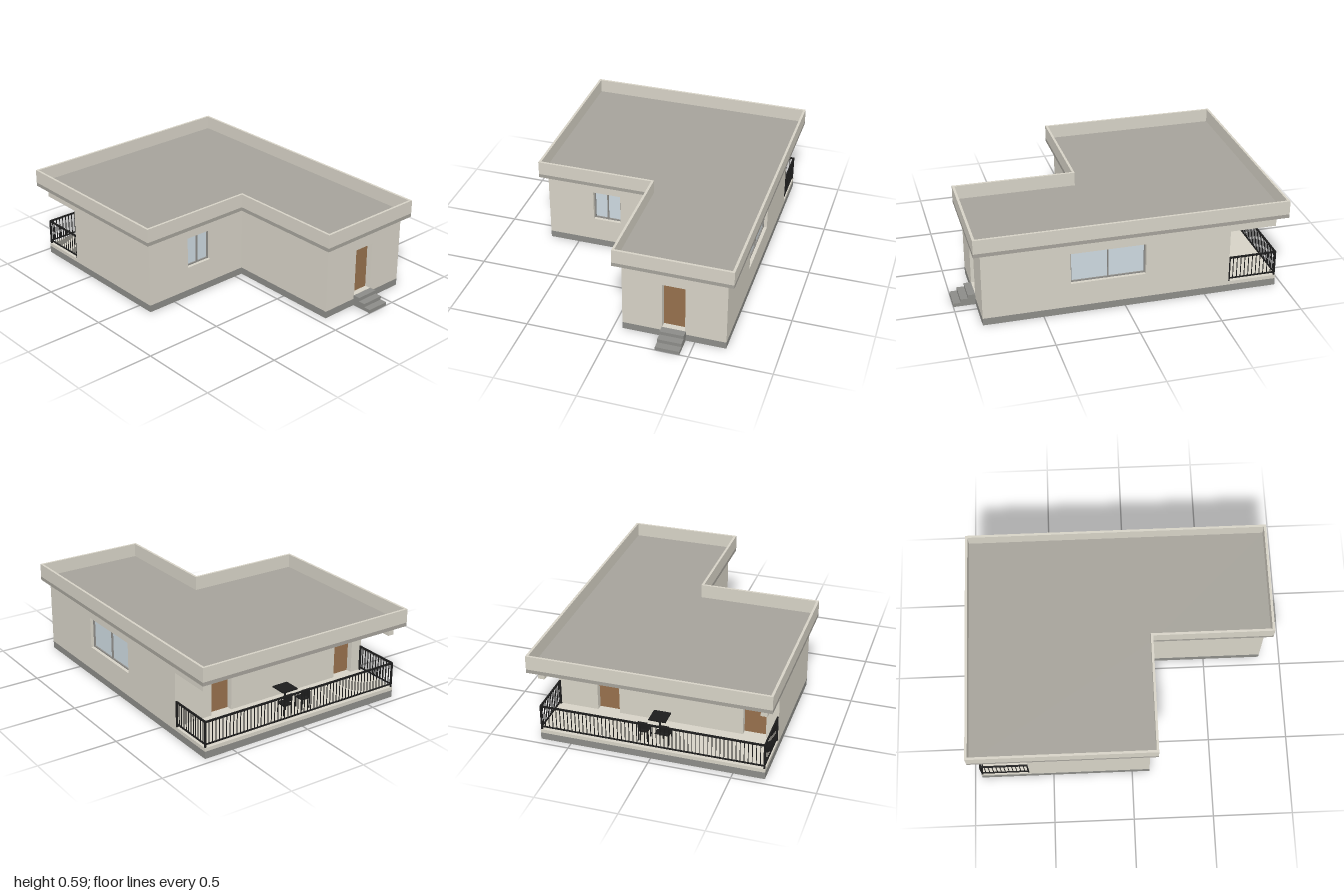
import * as THREE from 'three';

const mat = (color) => new THREE.MeshStandardMaterial({ color });
const M = {
  wall: mat(0xd6d2c6), base: mat(0x8c8c88), slab: mat(0xa5a29a), frame: mat(0x8f8e8a),
  glass: mat(0xcdd9e0), door: mat(0x96704c), metal: mat(0x1c1c1c),
};
const WALL_TOP = 0.48, PLINTH = 0.045, FLOOR = 0.068, THICK = 0.05;

function add(parent, name, geometry, material) {
  const mesh = new THREE.Mesh(geometry, material);
  mesh.name = name;
  parent.add(mesh);
  return mesh;
}

// Box given by its limits on each axis
function box(parent, name, material, x0, x1, y0, y1, z0, z1) {
  const mesh = add(parent, name, new THREE.BoxGeometry(x1 - x0, y1 - y0, z1 - z0), material);
  mesh.position.set((x0 + x1) / 2, (y0 + y1) / 2, (z0 + z1) / 2);
  return mesh;
}

// L-shaped plan: full rectangle with the front right-hand quarter cut away
function planPoints(halfX, back, front, notchX, notchZ, inset = 0) {
  const x = halfX - inset, b = back + inset, f = front - inset;
  const nx = notchX + inset, nz = notchZ - inset;
  return [[-x, b], [x, b], [x, f], [nx, f], [nx, nz], [-x, nz]].map(([u, v]) => new THREE.Vector2(u, v));
}

function planExtrude(outline, y0, y1, hole) {
  const shape = new THREE.Shape(outline);
  if (hole) shape.holes.push(new THREE.Path(hole));
  const g = new THREE.ExtrudeGeometry(shape, { depth: y1 - y0, bevelEnabled: false });
  return g.rotateX(Math.PI / 2).translate(0, y1, 0);
}

const rect = (u0, u1, v0, v1) =>
  [[u0, v0], [u1, v0], [u1, v1], [u0, v1]].map(([u, v]) => new THREE.Vector2(u, v));

// Recessed two-pane window in wall coordinates
function addWindow(parent, { u0, u1, v0, v1 }) {
  const g = new THREE.Group();
  g.name = 'window';
  const w = 0.008, m = (u0 + u1) / 2;
  box(g, 'glass', M.glass, u0, u1, v0, v1, -0.04, -0.03);
  for (const u of [u0, m - w / 2, u1 - w]) box(g, 'windowStile', M.frame, u, u + w, v0, v1, -0.04, -0.02);
  for (const v of [v0, v1 - w]) box(g, 'windowRail', M.frame, u0, u1, v, v + w, -0.04, -0.021);
  parent.add(g);
}

// Wall whose outer face is local z = 0, with openings cut through it
function addWall(parent, name, u0, u1, position, angle, openings = []) {
  const g = new THREE.Group();
  g.name = name;
  const shape = new THREE.Shape(rect(u0, u1, PLINTH, WALL_TOP));
  for (const o of openings) {
    shape.holes.push(new THREE.Path(rect(o.u0, o.u1, o.v0, o.v1)));
    if (o.type === 'door') box(g, 'door', M.door, o.u0, o.u1, o.v0, o.v1, -0.049, -0.038);
    else addWindow(g, o);
  }
  const geo = new THREE.ExtrudeGeometry(shape, { depth: THICK, bevelEnabled: false });
  add(g, 'wallPanel', geo.translate(0, 0, -THICK), M.wall);
  g.position.set(...position);
  g.rotation.y = angle;
  parent.add(g);
}

// Straight run of railing between two points on the floor plan
function addRailing(parent, ax, az, bx, bz) {
  const g = new THREE.Group();
  g.name = 'railing';
  const length = Math.hypot(bx - ax, bz - az);
  box(g, 'topRail', M.metal, 0, length, 0.222, 0.232, -0.005, 0.005);
  box(g, 'bottomRail', M.metal, 0, length, 0.083, 0.09, -0.004, 0.004);
  const n = Math.round(length / 0.024);
  for (let i = 1; i < n; i++) {
    const x = (i * length) / n;
    box(g, 'baluster', M.metal, x - 0.002, x + 0.002, 0.085, 0.225, -0.002, 0.002);
  }
  for (const x of [0, length]) box(g, 'railingPost', M.metal, x - 0.005, x + 0.005, FLOOR, 0.232, -0.005, 0.005);
  g.position.set(ax, 0, az);
  g.rotation.y = Math.atan2(-(bz - az), bx - ax);
  parent.add(g);
}

function addTable(parent, x, z) {
  const g = new THREE.Group();
  g.name = 'table';
  box(g, 'tableTop', M.metal, -0.053, 0.053, 0.176, 0.184, -0.053, 0.053);
  box(g, 'tableLeg', M.metal, -0.005, 0.005, FLOOR, 0.176, -0.005, 0.005);
  box(g, 'tableFoot', M.metal, -0.025, 0.025, FLOOR, FLOOR + 0.004, -0.025, 0.025);
  g.position.set(x, 0, z);
  parent.add(g);
}

function addChair(parent, x, z) {
  const g = new THREE.Group();
  g.name = 'chair';
  box(g, 'chairSeat', M.metal, -0.03, 0.03, 0.132, 0.139, -0.032, 0.032);
  box(g, 'chairBack', M.metal, -0.03, 0.03, 0.155, 0.2, -0.032, -0.027);
  for (const sx of [-1, 1]) {
    const lx = sx * 0.027;
    box(g, 'chairFrontLeg', M.metal, lx - 0.003, lx + 0.003, FLOOR, 0.132, 0.026, 0.032);
    box(g, 'chairBackLeg', M.metal, lx - 0.003, lx + 0.003, FLOOR, 0.2, -0.032, -0.026);
  }
  g.position.set(x, 0, z);
  parent.add(g);
}

export function createModel() {
  const house = new THREE.Group();
  house.name = 'house';

  // Plinth and porch floor
  add(house, 'plinth', planExtrude(planPoints(0.69, -0.955, 0.865, 0.055, 0.11), 0, PLINTH), M.base);
  box(house, 'porchFloor', M.wall, -0.69, 0.69, PLINTH, FLOOR, -0.955, -0.65);

  // Walls with doors and windows
  const door = (u0) => ({ type: 'door', u0, u1: u0 + 0.14, v0: FLOOR, v1: 0.376 });
  const win = (u0, u1) => ({ type: 'window', u0, u1, v0: 0.2, v1: 0.4 });
  addWall(house, 'wingFrontWall', 0.055, 0.69, [0, 0, 0.865], 0, [door(0.3)]);
  addWall(house, 'mainFrontWall', -0.69, 0.105, [0, 0, 0.11], 0, [win(-0.39, -0.21)]);
  addWall(house, 'backWall', -0.69, 0.69, [0, 0, -0.65], Math.PI, [door(-0.44), door(0.475)]);
  addWall(house, 'leftWall', -0.815, 0.6, [0.69, 0, 0], Math.PI / 2, [win(-0.335, 0.125)]);
  addWall(house, 'rightWall', -0.6, 0.06, [-0.69, 0, 0], -Math.PI / 2);
  addWall(house, 'wingRightWall', 0.11, 0.815, [0.055, 0, 0], -Math.PI / 2);

  // Flat roof with parapet
  const roof = (inset) => planPoints(0.733, -1, 0.91, 0.01, 0.158, inset);
  add(house, 'roofSlab', planExtrude(roof(0), WALL_TOP, 0.503), M.slab);
  add(house, 'parapet', planExtrude(roof(0), 0.503, 0.59, roof(0.015)), M.wall);

  // Front steps
  for (let i = 0; i < 3; i++) {
    box(house, 'step', M.base, 0.297, 0.445, 0, 0.0227 * (i + 1), 0.865, 1 - 0.045 * i);
  }

  // Porch beams, railings and furniture
  for (const s of [-1, 1]) {
    box(house, 'porchBeam', M.wall, s * 0.67 - 0.02, s * 0.67 + 0.02, 0.412, WALL_TOP, -0.937, -0.65);
    addRailing(house, s * 0.683, -0.655, s * 0.683, -0.948);
    addChair(house, s * 0.066, -0.862);
  }
  addRailing(house, -0.683, -0.948, 0.683, -0.948);
  addTable(house, 0, -0.777);

  return house;
}
